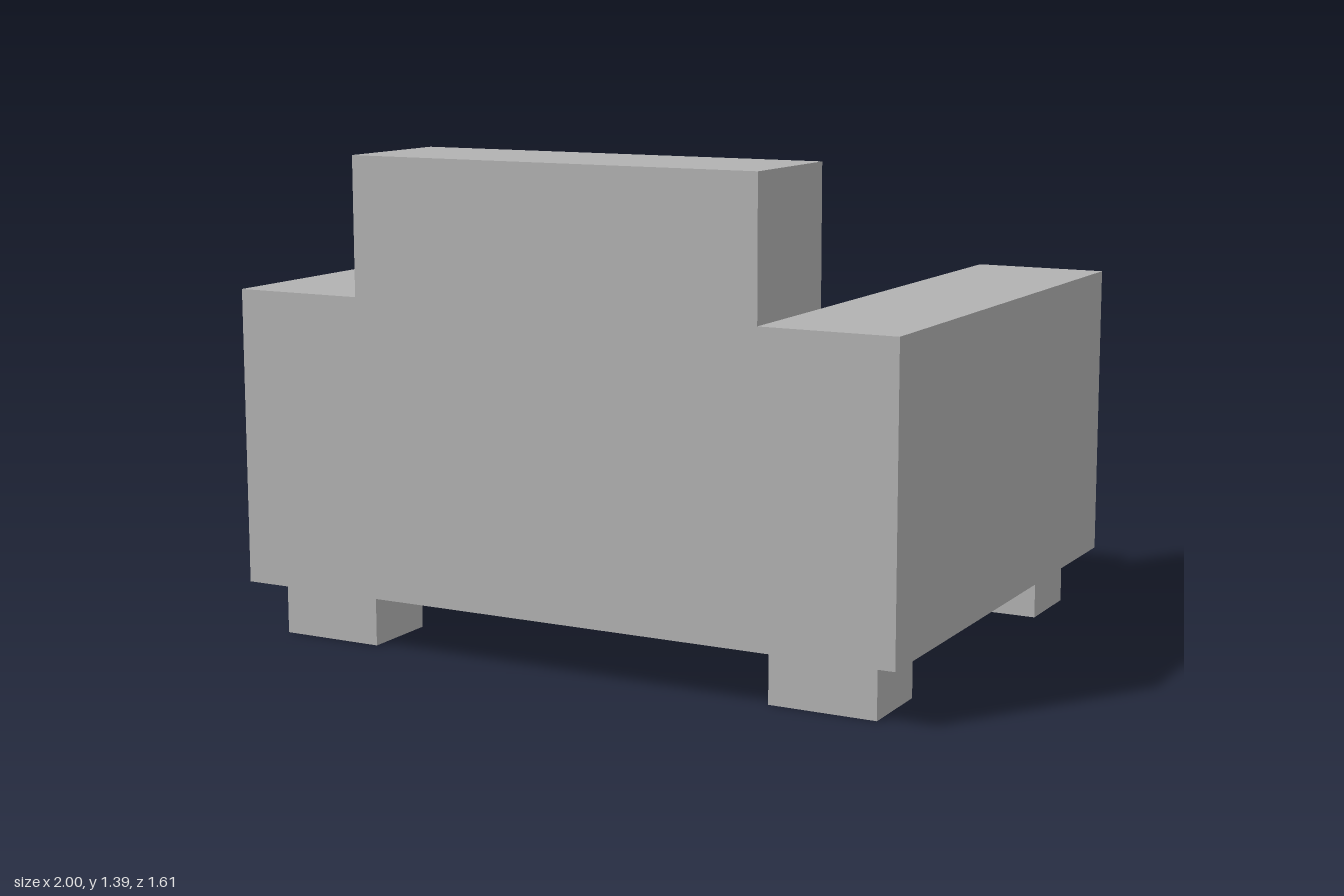
import * as THREE from 'three';

export function createModel() {
  const group = new THREE.Group();
  group.name = 'armchair';

  const grey = new THREE.MeshStandardMaterial({ color: 0xb2b2b2 });
  grey.name = 'grey';

  // Adds a box given its extents along each axis
  function block(name, [x0, x1], [y0, y1], [z0, z1]) {
    const mesh = new THREE.Mesh(new THREE.BoxGeometry(x1 - x0, y1 - y0, z1 - z0), grey);
    mesh.position.set((x0 + x1) / 2, (y0 + y1) / 2, (z0 + z1) / 2);
    mesh.name = name;
    group.add(mesh);
  }

  const base = 0.157; // underside of the body
  const inner = 0.613; // inner face of the arms
  const back = 0.805;
  const backrestFace = 0.425;

  // Seat block, protruding past the arms, and the tall backrest
  block('seat', [-inner, inner], [base, 0.693], [-back, backrestFace]);
  block('backrest', [-inner, inner], [base, 1.388], [backrestFace, back]);

  // Mirrored arms and legs
  for (const side of [1, -1]) {
    const span = (a, b) => (side > 0 ? [a, b] : [-b, -a]);
    const label = side > 0 ? 'left' : 'right';
    block(label + 'Arm', span(inner, 1), [base, 1], [-0.73, back]);
    block(label + 'LegA', span(0.615, 0.922), [0, base], [0.505, 0.735]);
    block(label + 'LegB', span(0.615, 0.922), [0, base], [-0.655, -0.425]);
  }

  return group;
}
